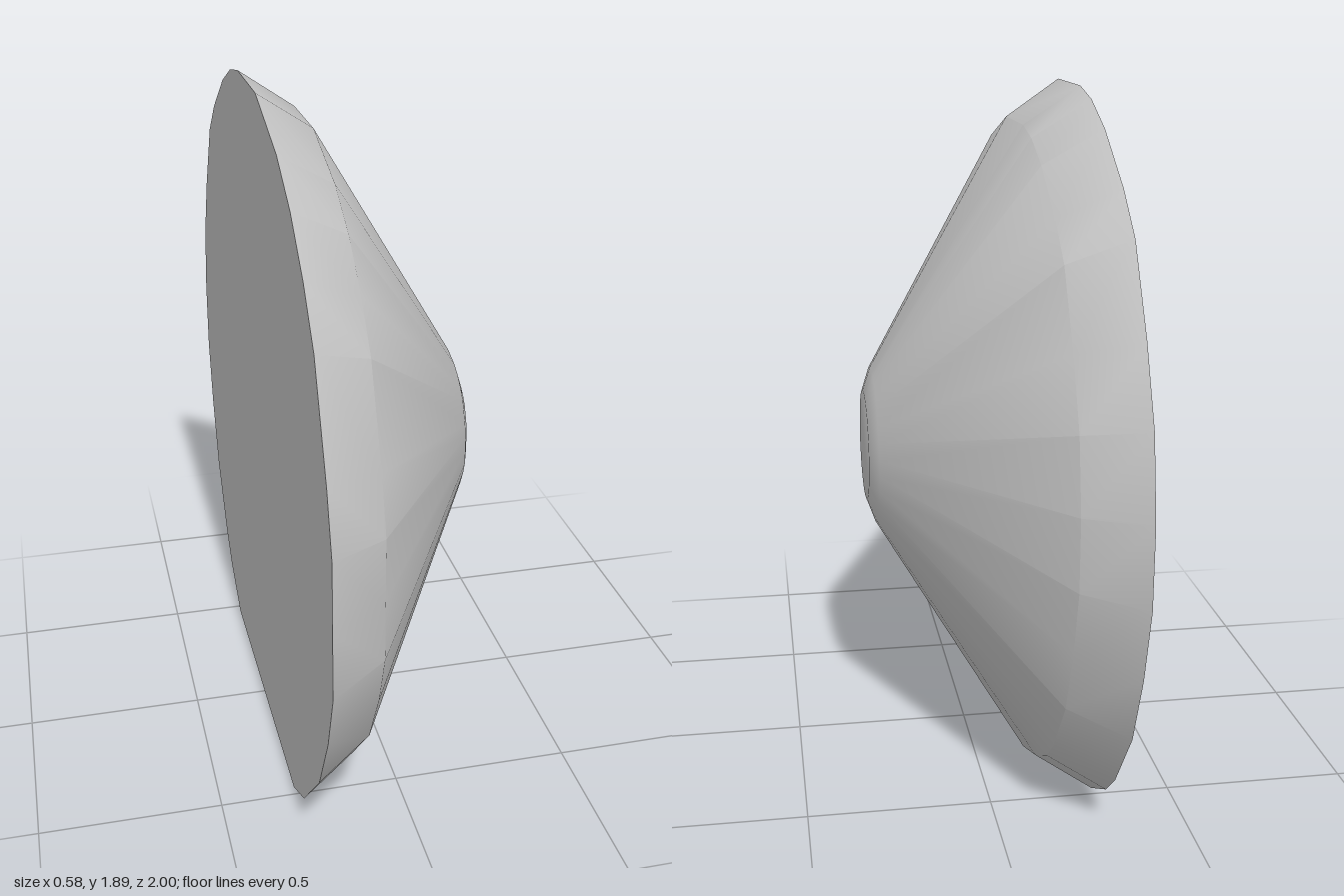
import * as THREE from 'three';
import { toCreasedNormals } from 'three/addons/utils/BufferGeometryUtils.js';

const CENTRE_Y = 0.885;

// Irregular rim outline [z, y], clockwise seen from +x
const outline = [
  [1, 0.67], [1, 0.85], [1, 1.04], [0.95, 1.2], [0.83, 1.47], [0.72, 1.6], [0.58, 1.72], [0.42, 1.81],
  [0.14, 1.895], [-0.14, 1.895], [-0.27, 1.87], [-0.42, 1.81], [-0.62, 1.69], [-0.74, 1.59],
  [-0.87, 1.38], [-0.96, 1.19], [-1, 0.98], [-1, 0.77], [-0.95, 0.57], [-0.87, 0.37],
  [-0.72, 0.17], [-0.63, 0.09], [-0.47, 0], [-0.27, -0.08], [0, -0.115], [0.27, -0.08],
  [0.47, 0], [0.62, 0.08], [0.83, 0.3], [0.94, 0.5],
];

// Rings along x: [x, scale of the outline]
const rings = [[-0.29, 1], [-0.14, 0.9], [0.265, 0.22], [0.288, 0.155]];

// Scale the outline about the axis and cut it flat at the ground
function ringPoints([x, s]) {
  return outline.map(([z, y]) =>
    new THREE.Vector3(x, Math.max(0, CENTRE_Y + (y - CENTRE_Y) * s), z * s));
}

function domeGeometry() {
  const loops = rings.map(ringPoints);
  const n = outline.length;
  const points = [];
  const backCentre = new THREE.Vector3(rings[0][0], CENTRE_Y, 0);
  const tipCentre = new THREE.Vector3(rings[3][0], CENTRE_Y, 0);
  for (let i = 0; i < n; i++) {
    const j = (i + 1) % n;
    // bevel, cone and rounded tip
    for (let k = 0; k < loops.length - 1; k++) {
      const a = loops[k], b = loops[k + 1];
      // mirrored diagonals keep the flat foot planar
      if (a[i].z < 0) points.push(a[i], b[i], b[j], a[i], b[j], a[j]);
      else points.push(a[i], b[i], a[j], b[i], b[j], a[j]);
    }
    // flat back and tip
    points.push(backCentre, loops[0][i], loops[0][j]);
    points.push(tipCentre, loops[3][j], loops[3][i]);
  }
  const geometry = new THREE.BufferGeometry().setFromPoints(points);
  return toCreasedNormals(geometry, 0.46);
}

export function createModel() {
  const group = new THREE.Group();
  const grey = new THREE.MeshStandardMaterial({ color: 0xc8c8c8 });
  grey.name = 'light grey';
  const dome = new THREE.Mesh(domeGeometry(), grey);
  dome.name = 'conicalDome';
  group.add(dome);
  return group;
}
